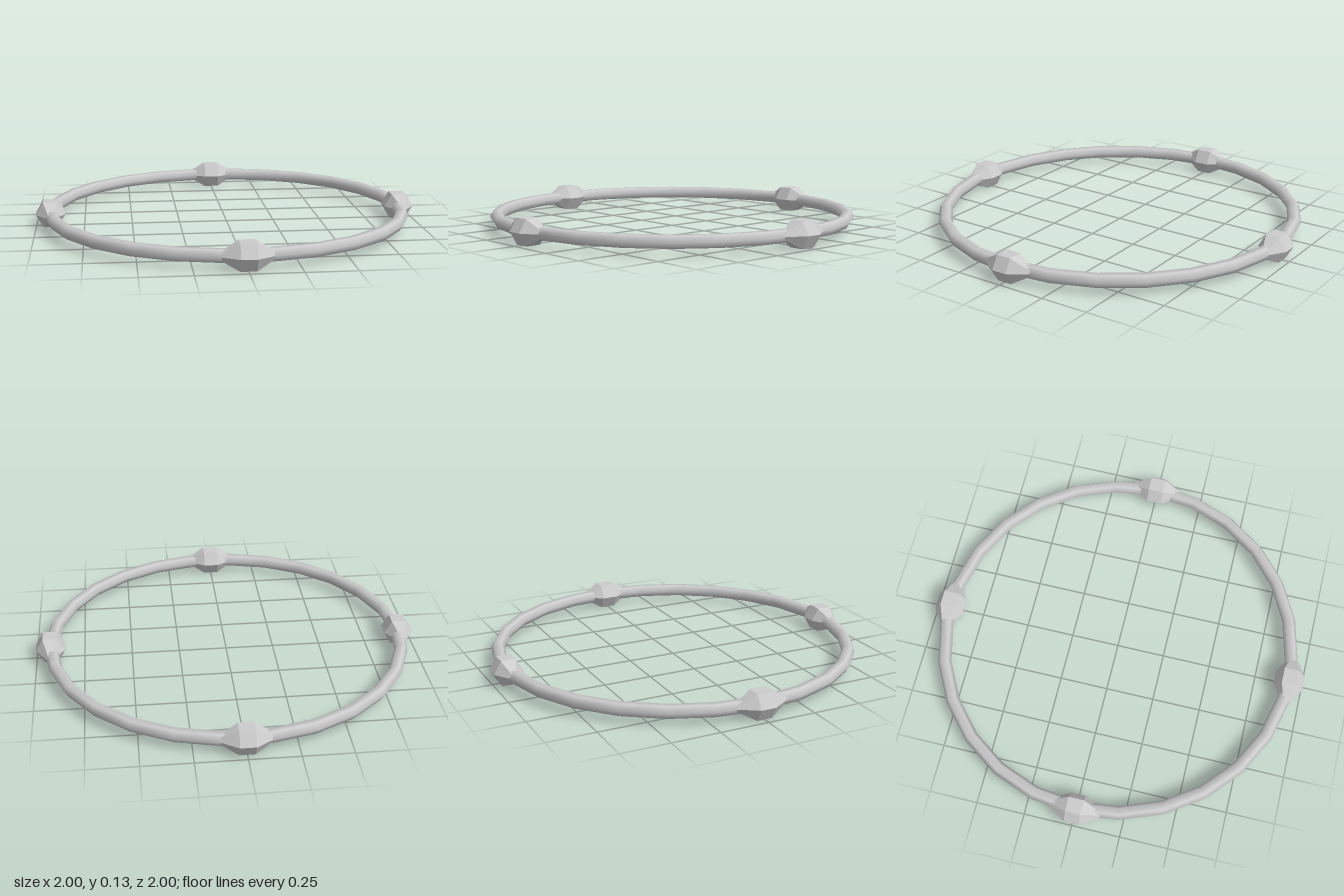
import * as THREE from 'three';

const RING_RADIUS = 0.9215;
const BEAD_RADIUS = 0.924;
const CENTRE_Y = 0.067;

export function createModel() {
  const model = new THREE.Group();
  model.name = 'beadedRing';

  const metal = new THREE.MeshStandardMaterial({ color: 0xcccccc });
  metal.name = 'light grey metal';

  // Slim smooth ring lying flat, six-sided in section, with 26 straight segments
  const ringGeometry = new THREE.TorusGeometry(RING_RADIUS, 0.035, 6, 26);
  ringGeometry.rotateX(Math.PI / 2);
  const ring = new THREE.Mesh(ringGeometry, metal);
  ring.name = 'ring';
  ring.position.y = CENTRE_Y;
  model.add(ring);

  // Faceted six-sided bead, tapering into the ring at both ends
  const profile = [[0, -0.158], [0.076, -0.039], [0.076, 0.039], [0, 0.158]];
  const points = profile.map(([r, y]) => new THREE.Vector2(r, y));
  const beadGeometry = new THREE.LatheGeometry(points, 6, Math.PI / 2).toNonIndexed();
  beadGeometry.computeVertexNormals();
  beadGeometry.rotateX(Math.PI / 2);

  // One bead on each quarter
  ['leftBead', 'backBead', 'rightBead', 'frontBead'].forEach((name, i) => {
    const angle = (i * Math.PI) / 2;
    const bead = new THREE.Mesh(beadGeometry, metal);
    bead.name = name;
    bead.position.set(Math.cos(angle) * BEAD_RADIUS, CENTRE_Y, -Math.sin(angle) * BEAD_RADIUS);
    bead.rotation.y = angle;
    model.add(bead);
  });

  return model;
}
